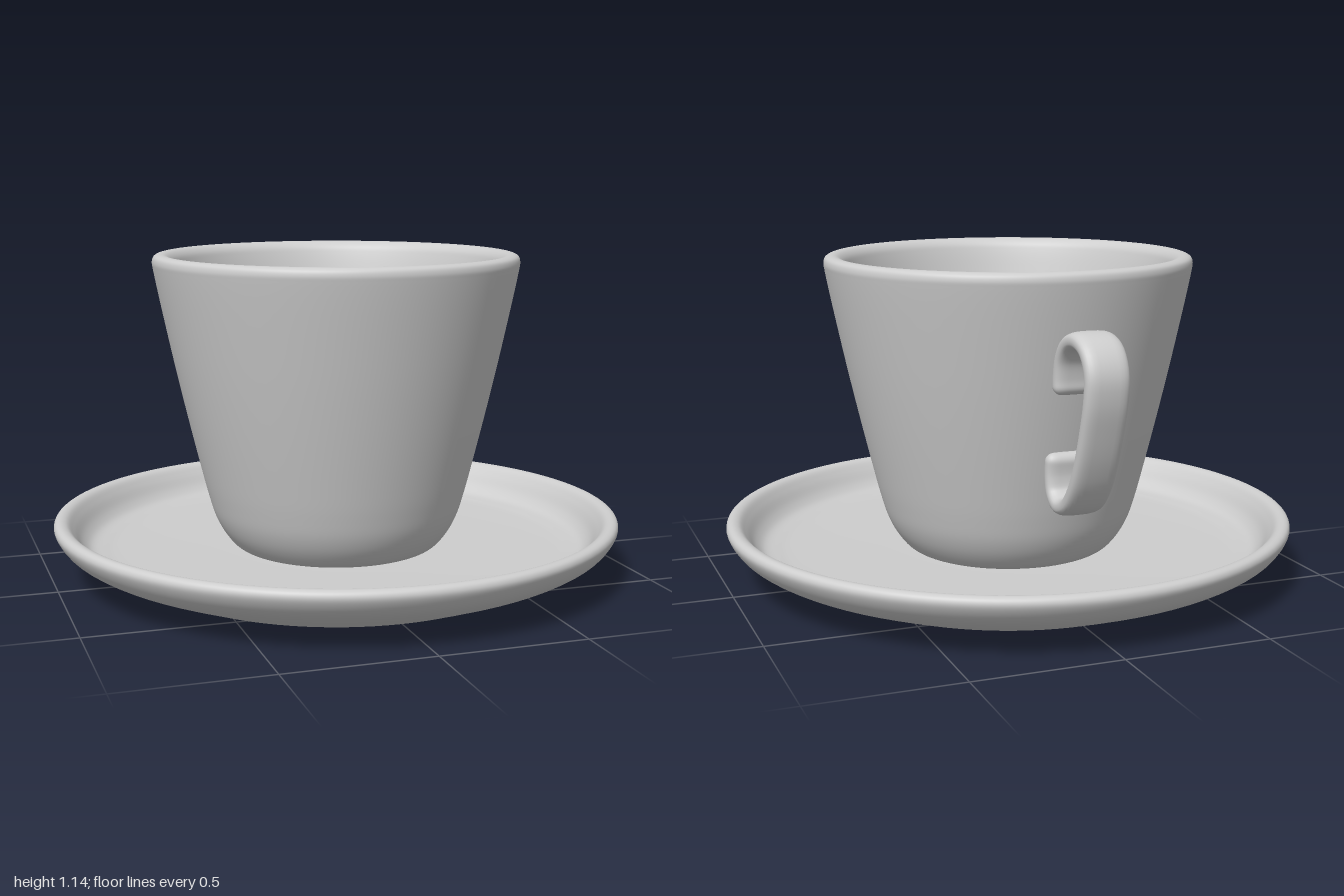
import * as THREE from 'three';

const V = (x, y, z = 0) => new THREE.Vector3(x, y, z);

// Smooth curve through [a, b] pairs
const smooth = (pts) => new THREE.CatmullRomCurve3(pts.map(([a, b]) => V(a, b)), false, 'centripetal');

// Turned part: profile runs from the underside centre, over the rim, to the inner centre
function turned(name, pts, material) {
  const profile = smooth(pts).getPoints(pts.length * 5).map((p) => new THREE.Vector2(Math.max(p.x, 0), p.y));
  const mesh = new THREE.Mesh(new THREE.LatheGeometry(profile, 96), material);
  mesh.name = name;
  return mesh;
}

// Flat rounded strap swept along a path in the z-y plane, with rounded ends
function strap(path, halfWidth, halfThick, steps, sides) {
  const pos = [], index = [];
  const length = path.getLength();
  for (let i = 0; i <= steps; i++) {
    // ease the rings towards both ends so that the rounding is smooth
    const u = 0.5 - 0.5 * Math.cos((Math.PI * i) / steps);
    const p = path.getPointAt(u), t = path.getTangentAt(u);
    const d = Math.min(1, (Math.min(u, 1 - u) * length) / halfThick);
    const round = Math.sqrt(Math.max(0, 1 - (1 - d) ** 2));
    const w = halfWidth - halfThick * (1 - round), h = halfThick * round;
    for (let j = 0; j < sides; j++) {
      const a = (j / sides) * Math.PI * 2, c = Math.cos(a), s = Math.sin(a);
      const x = w * Math.sign(c) * Math.abs(c) ** 0.55;
      const n = h * Math.sign(s) * Math.abs(s) ** 0.8;
      pos.push(x, p.y + n * t.x, p.x - n * t.y);
      if (i < steps) {
        const k = (j + 1) % sides, r = i * sides, q = r + sides;
        index.push(r + j, r + k, q + j, r + k, q + k, q + j);
      }
    }
  }
  const g = new THREE.BufferGeometry();
  g.setAttribute('position', new THREE.Float32BufferAttribute(pos, 3));
  g.setIndex(index);
  g.computeVertexNormals();
  return g;
}

export function createModel() {
  const ceramic = new THREE.MeshStandardMaterial({ name: 'white ceramic', color: 0xcdcdcd, side: THREE.DoubleSide });
  const dark = new THREE.MeshStandardMaterial({ name: 'dark coffee', color: 0x2e2423 });
  const tan = new THREE.MeshStandardMaterial({ name: 'tan foam', color: 0xb5885e });
  const model = new THREE.Group();
  model.name = 'cupAndSaucer';

  // Saucer with a recessed foot and raised rim
  model.add(turned('saucer', [
    [0, 0.035], [0.3, 0.035], [0.6, 0.035], [0.625, 0.03], [0.655, 0.003], [0.665, 0], [0.685, 0], [0.695, 0.004],
    [0.8, 0.045], [0.9, 0.088], [0.96, 0.127], [0.99, 0.165], [1, 0.192], [0.994, 0.208], [0.978, 0.215],
    [0.955, 0.209], [0.93, 0.18], [0.9, 0.135], [0.87, 0.11], [0.82, 0.1], [0.78, 0.096], [0.4, 0.088], [0, 0.088],
  ], ceramic));

  // Cup wall, thick rounded rim and inside
  model.add(turned('cup', [
    [0, 0.085], [0.2, 0.085], [0.32, 0.09], [0.36, 0.105], [0.4, 0.15], [0.432, 0.21], [0.457, 0.29], [0.485, 0.4],
    [0.533, 0.6], [0.58, 0.81], [0.636, 1.085], [0.639, 1.11], [0.633, 1.127], [0.615, 1.135], [0.592, 1.132],
    [0.572, 1.115], [0.56, 1.085], [0.53, 0.97], [0.498, 0.86], [0.45, 0.6], [0.4, 0.35], [0.3, 0.2], [0, 0.17],
  ], ceramic));

  // Curled handle on the back
  const path = smooth([
    [-0.592, 0.742], [-0.593, 0.8], [-0.61, 0.865], [-0.655, 0.915], [-0.725, 0.934], [-0.795, 0.912], [-0.835, 0.85],
    [-0.834, 0.77], [-0.805, 0.66], [-0.765, 0.55], [-0.72, 0.465], [-0.66, 0.4], [-0.59, 0.38], [-0.543, 0.41],
    [-0.53, 0.46], [-0.536, 0.542],
  ]);
  const handle = new THREE.Mesh(strap(path, 0.073, 0.029, 90, 28), ceramic);
  handle.name = 'handle';
  model.add(handle);

  // Coffee surface
  const level = 0.86;
  const coffee = new THREE.Mesh(new THREE.CircleGeometry(0.5, 96), dark);
  coffee.name = 'coffee';
  coffee.rotation.x = -Math.PI / 2;
  coffee.position.y = level;
  model.add(coffee);

  // Foam crescent along the left front edge, drawn as [x, z]
  const edge = [
    [-0.455, -0.207], [-0.432, -0.2], [-0.445, -0.165], [-0.415, -0.15], [-0.39, -0.05], [-0.38, 0.06], [-0.368, 0.15],
    [-0.335, 0.245], [-0.27, 0.33], [-0.19, 0.39], [-0.1, 0.43], [0, 0.458], [0.04, 0.478], [0.05, 0.497],
  ];
  const outline = edge.map(([x, z]) => new THREE.Vector2(x, -z));
  const from = Math.atan2(0.497, 0.05), to = Math.atan2(-0.207, -0.455) + Math.PI * 2;
  for (let i = 1; i < 40; i++) {
    const a = from + ((to - from) * i) / 40;
    outline.push(new THREE.Vector2(0.5 * Math.cos(a), -0.5 * Math.sin(a)));
  }
  const foam = new THREE.Mesh(new THREE.ShapeGeometry(new THREE.Shape(outline)), tan);
  foam.name = 'foam';
  foam.rotation.x = -Math.PI / 2;
  foam.position.y = level + 0.003;
  model.add(foam);

  return model;
}
